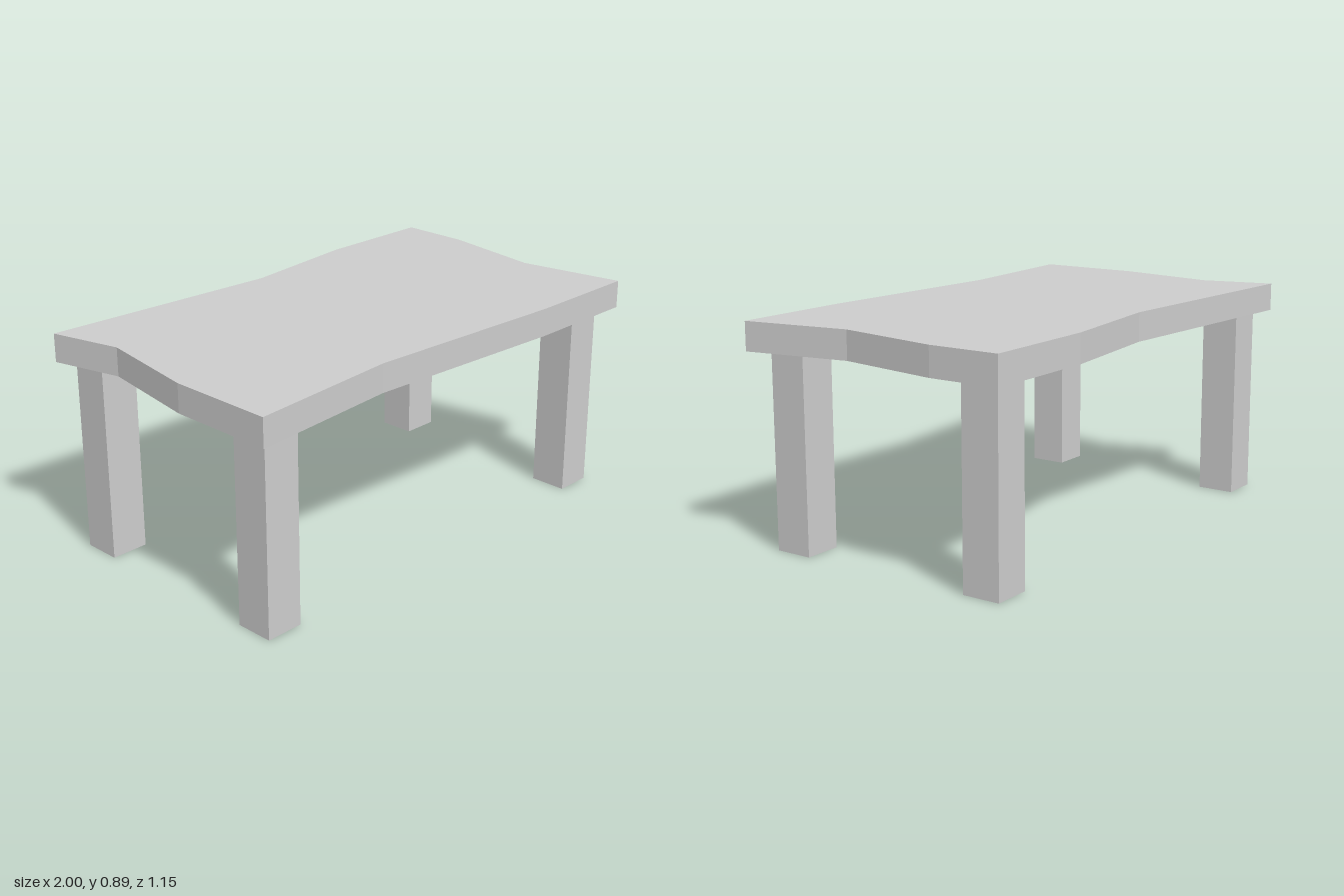
import * as THREE from 'three';

export function createModel() {
  const group = new THREE.Group();
  const material = new THREE.MeshStandardMaterial({ color: 0xcccccc, flatShading: true });

  const topY = 0.891, undersideY = 0.777;

  // Tabletop: uneven slab outline as (x, z) corners
  const outline = [
    [-1, -0.574], [0, -0.511], [0.506, -0.574], [1, -0.574],
    [1, -0.287], [0.928, 0.143], [1, 0.574], [0.506, 0.574],
    [-0.37, 0.523], [-1, 0.574], [-1, 0.143], [-0.928, -0.287],
  ].map(([x, z]) => new THREE.Vector2(x, z));
  const slab = new THREE.ExtrudeGeometry(new THREE.Shape(outline), {
    depth: topY - undersideY, bevelEnabled: false,
  });
  slab.rotateX(Math.PI / 2).translate(0, topY, 0);
  const tabletop = new THREE.Mesh(slab, material);
  tabletop.name = 'tabletop';
  group.add(tabletop);

  // Four square legs
  const legGeometry = new THREE.BoxGeometry(0.155, undersideY, 0.155);
  for (const [side, x] of [['Right', -0.868], ['Left', 0.847]]) {
    for (const [end, z] of [['front', 0.441], ['back', -0.441]]) {
      const leg = new THREE.Mesh(legGeometry, material);
      leg.position.set(x, undersideY / 2, z);
      leg.name = `${end}${side}Leg`;
      group.add(leg);
    }
  }
  return group;
}
